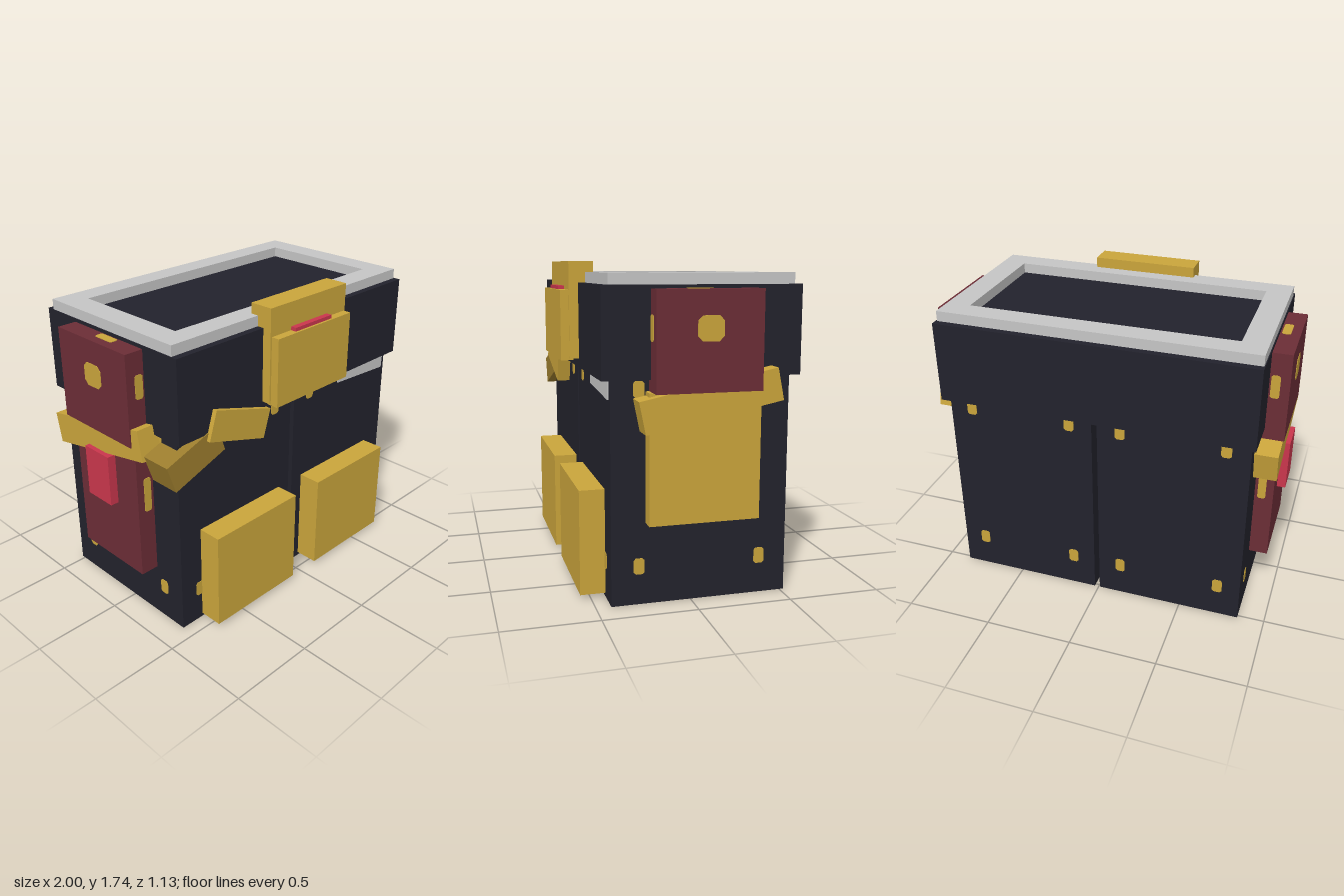
import * as THREE from 'three';

const mat = (name, color) => Object.assign(new THREE.MeshStandardMaterial({ color }), { name });

export function createModel() {
  const root = new THREE.Group();
  root.name = 'armouredLegs';
  const dark = mat('darkNavy', 0x22222c);
  const gold = mat('gold', 0xc9a43b);
  const dullGold = mat('dullGold', 0x9c7d2e);
  const maroon = mat('maroon', 0x6b2d36);
  const crimson = mat('crimson', 0xc9364c);
  const grey = mat('lightGrey', 0xc4c4c4);

  // Box from its limits on each axis
  const box = (name, material, [x0, x1], [y0, y1], [z0, z1]) => {
    const m = new THREE.Mesh(new THREE.BoxGeometry(x1 - x0, y1 - y0, z1 - z0), material);
    m.position.set((x0 + x1) / 2, (y0 + y1) / 2, (z0 + z1) / 2);
    m.name = name;
    root.add(m);
    return m;
  };

  // Thin chamfered stud lying on a face; the direction gives the outward side
  const turns = {
    front: [0, 0], back: [0, Math.PI], left: [0, Math.PI / 2],
    right: [0, -Math.PI / 2], top: [-Math.PI / 2, 0], bottom: [Math.PI / 2, 0],
  };
  const stud = (side, x, y, z, w = 0.057, h = 0.085) => {
    const a = w / 2, b = h / 2, c = Math.min(w, h) * 0.2;
    const shape = new THREE.Shape([
      [a, -b + c], [a, b - c], [a - c, b], [-a + c, b],
      [-a, b - c], [-a, -b + c], [-a + c, -b], [a - c, -b],
    ].map(p => new THREE.Vector2(...p)));
    const geo = new THREE.ExtrudeGeometry(shape, { depth: 0.007, bevelEnabled: false });
    geo.translate(0, 0, -0.004);
    const m = new THREE.Mesh(geo, gold);
    m.position.set(x, y, z);
    m.rotation.set(turns[side][0], turns[side][1], 0);
    m.name = 'stud';
    root.add(m);
  };

  // Legs, toe plates and leg studs
  for (const [name, cx, s] of [['left', 0.443, 1], ['right', -0.428, -1]]) {
    box(name + 'Leg', dark, [cx - 0.42, cx + 0.42], [0, 1.2], [-0.519, 0.422]);
    const tx = s > 0 ? 0.413 : -0.398;
    box(name + 'ToePlate', gold, [tx - 0.307, tx + 0.307], [0.02, 0.58], [0.4, 0.556]);
    for (const a of [-1, 1]) {
      for (const y of [0.203, 1.11]) {
        stud('front', cx + a * 0.29, y, 0.422);
        stud('back', cx + a * 0.29, y, -0.519);
        stud(s > 0 ? 'left' : 'right', cx + s * 0.42, y, -0.048 + a * 0.325);
      }
      for (const b of [-1, 1]) stud('bottom', cx + a * 0.29, 0, -0.048 + b * 0.325);
    }
  }

  // Waist block with a raised grey rim
  box('waist', dark, [-0.874, 0.892], [1.16, 1.618], [-0.567, 0.47]);
  const rect = (T, x0, x1, z0, z1) => new T(
    [[x0, -z1], [x1, -z1], [x1, -z0], [x0, -z0]].map(p => new THREE.Vector2(...p)));
  const rimShape = rect(THREE.Shape, -0.869, 0.883, -0.528, 0.432);
  rimShape.holes.push(rect(THREE.Path, -0.731, 0.747, -0.4, 0.304));
  const rim = new THREE.Mesh(
    new THREE.ExtrudeGeometry(rimShape, { depth: 0.06, bevelEnabled: false }), grey);
  rim.rotation.x = -Math.PI / 2;
  rim.position.y = 1.615;
  rim.name = 'waistRim';
  root.add(rim);

  // Buckle
  box('buckleBack', gold, [-0.29, 0.305], [1.21, 1.733], [0.386, 0.521]);
  box('buckleFront', gold, [-0.28, 0.297], [1.2, 1.58], [0.5, 0.567]);
  box('buckleGem', crimson, [-0.135, 0.15], [1.35, 1.6], [0.515, 0.554]);

  // Hip pouches with studs
  for (const [side, s, cx] of [['left', 1, 0.922], ['right', -1, -0.907]]) {
    box(side + 'HipPouch', maroon, [cx - 0.074, cx + 0.074], [1.1, 1.6], [-0.322, 0.224]);
    stud(side, cx + s * 0.074, 1.412, -0.048, 0.134, 0.125);
    stud('front', cx, 1.412, 0.224, 0.048, 0.13);
    stud('back', cx, 1.412, -0.322, 0.048, 0.13);
    stud('top', cx, 1.6, -0.015, 0.048, 0.13);
    // Slanted side straps, lower at opposite ends
    const strap = box(side + 'SideStrap', gold,
      s > 0 ? [0.84, 0.985] : [-0.974, -0.83], [0.973, 1.141], [-0.43, 0.297]);
    strap.rotation.x = s * 0.2;
  }

  // Thigh panels
  box('leftThighPanel', gold, [0.8, 0.938], [0.43, 1.1], [-0.339, 0.243]);
  box('rightThighPanel', maroon, [-0.952, -0.822], [0.31, 1.09], [-0.28, 0.22]);
  box('thighButton', crimson, [-1, -0.94], [0.695, 0.985], [-0.145, 0.048]);
  stud('front', -0.887, 0.79, 0.22, 0.045, 0.2);
  stud('back', -0.887, 0.79, -0.28, 0.045, 0.2);

  // Slanted straps on the front of the right hip
  const upper = box('upperFrontStrap', gold, [-0.68, -0.27], [1.064, 1.231], [0.33, 0.497]);
  upper.rotation.z = -0.3;
  const lower = box('lowerFrontStrap', dullGold, [-0.943, -0.587], [0.973, 1.137], [0.298, 0.475]);
  lower.rotation.z = 0.33;

  // Grey flap below the waist
  const flap = box('greyFlap', grey, [0.41, 0.84], [1.072, 1.27], [0.41, 0.429]);
  flap.rotation.z = -0.06;

  return root;
}
